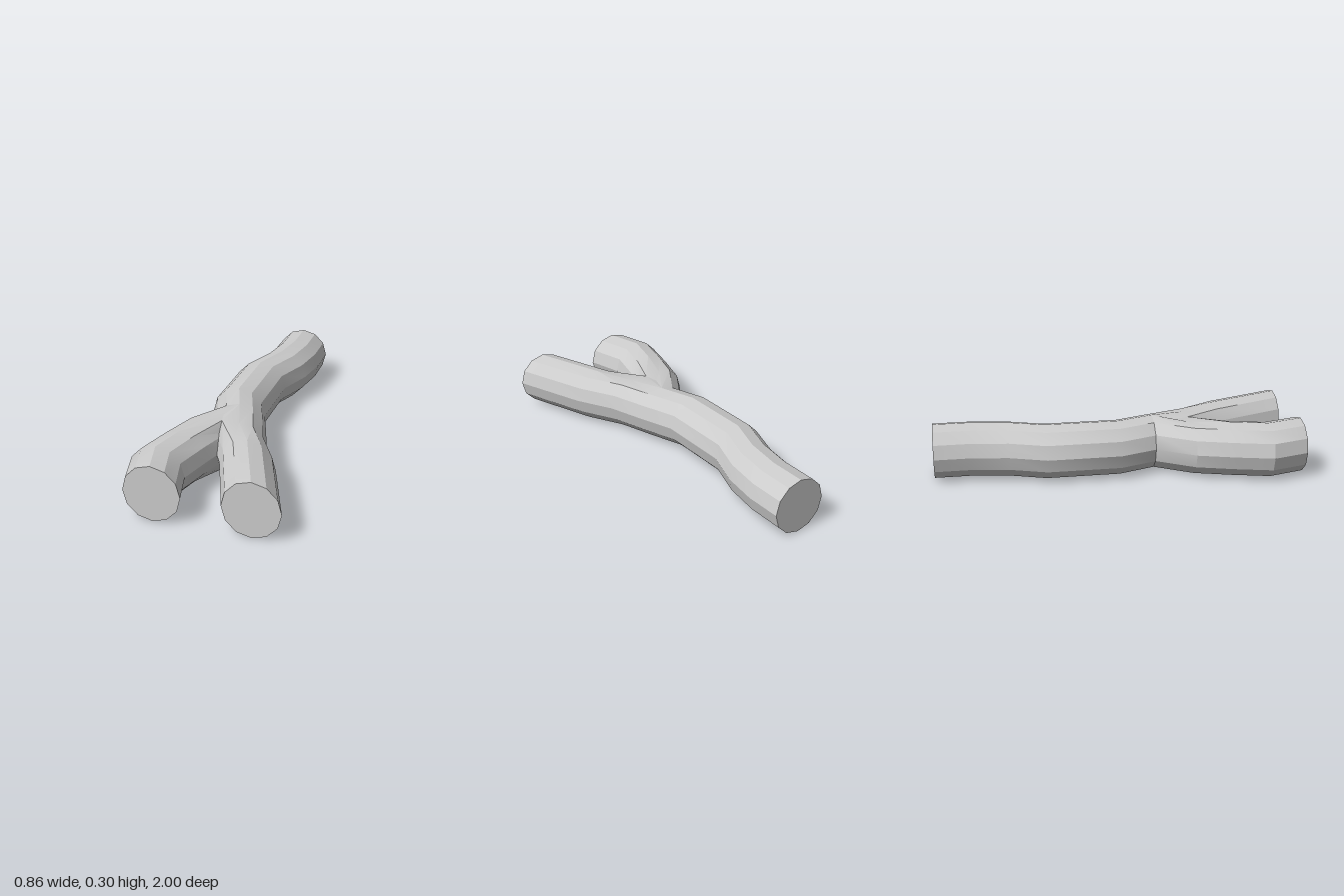
import * as THREE from 'three';
import { toCreasedNormals } from 'three/addons/utils/BufferGeometryUtils.js';

const SIDES = 12, R = 0.15, FORK_Z = 0.4, CROTCH_X = -0.075;

// Skins upright 12-sided rings along a path of [x, z] centres (z increasing).
// inner is the side (+1 or -1) facing the other prong at the fork.
function pipe(name, path, inner, material) {
  const pos = [], idx = [];
  for (const [cx, z] of path) {
    for (let i = 0; i < SIDES; i++) {
      const a = (i / SIDES) * Math.PI * 2;
      let x = cx + R * Math.cos(a), y = R + R * Math.sin(a);
      // Flatten the fork ring so both prongs meet in a shared web
      if (z === FORK_Z) {
        if (i === 3) y = 0.288;
        if (i === (inner > 0 ? 2 : 4)) { x = CROTCH_X; y = 0.288; }
        if (i === (inner > 0 ? 10 : 8)) { x = CROTCH_X; y = 0.003; }
      }
      pos.push(x, y, z);
    }
  }
  for (let r = 0; r < path.length - 1; r++) {
    for (let i = 0; i < SIDES; i++) {
      const a = r * SIDES + i, b = r * SIDES + (i + 1) % SIDES;
      idx.push(a, b, b + SIDES, a, b + SIDES, a + SIDES);
    }
  }
  // End caps
  const last = (path.length - 1) * SIDES;
  for (let i = 1; i < SIDES - 1; i++) {
    idx.push(0, i + 1, i, last, last + i, last + i + 1);
  }
  // Ring order runs counter-clockwise seen from +z, so flip the walls outward
  const wallEnd = (path.length - 1) * SIDES * 6;
  for (let k = 0; k < wallEnd; k += 3) {
    const [p, q, s] = idx.slice(k, k + 3).map(v => new THREE.Vector3().fromArray(pos, v * 3));
    const n = q.clone().sub(p).cross(s.clone().sub(p));
    const c = path[Math.floor(idx[k] / SIDES)];
    const out = p.clone().add(q).add(s).divideScalar(3).sub(new THREE.Vector3(c[0], R, c[1]));
    out.z = 0;
    if (n.dot(out) < 0) [idx[k + 1], idx[k + 2]] = [idx[k + 2], idx[k + 1]];
  }
  const g = new THREE.BufferGeometry();
  g.setAttribute('position', new THREE.Float32BufferAttribute(pos, 3));
  g.setIndex(idx);
  const mesh = new THREE.Mesh(toCreasedNormals(g, 0.45), material);
  mesh.name = name;
  return mesh;
}

export function createModel() {
  const group = new THREE.Group();
  group.name = 'forkedPipe';
  const material = new THREE.MeshStandardMaterial({ color: 0xcccccc });

  // Winding trunk running on into the left prong
  group.add(pipe('trunk', [
    [-0.015, -1], [-0.015, -0.8], [-0.045, -0.6], [-0.115, -0.4], [-0.115, 0],
    [-0.045, 0.2], [0.02, FORK_Z], [0.13, 0.6], [0.28, 1],
  ], -1, material));

  // Right prong splitting off the trunk
  group.add(pipe('branch', [
    [-0.045, 0.2], [-0.17, FORK_Z], [-0.23, 0.6], [-0.28, 0.8], [-0.225, 1],
  ], 1, material));

  return group;
}
